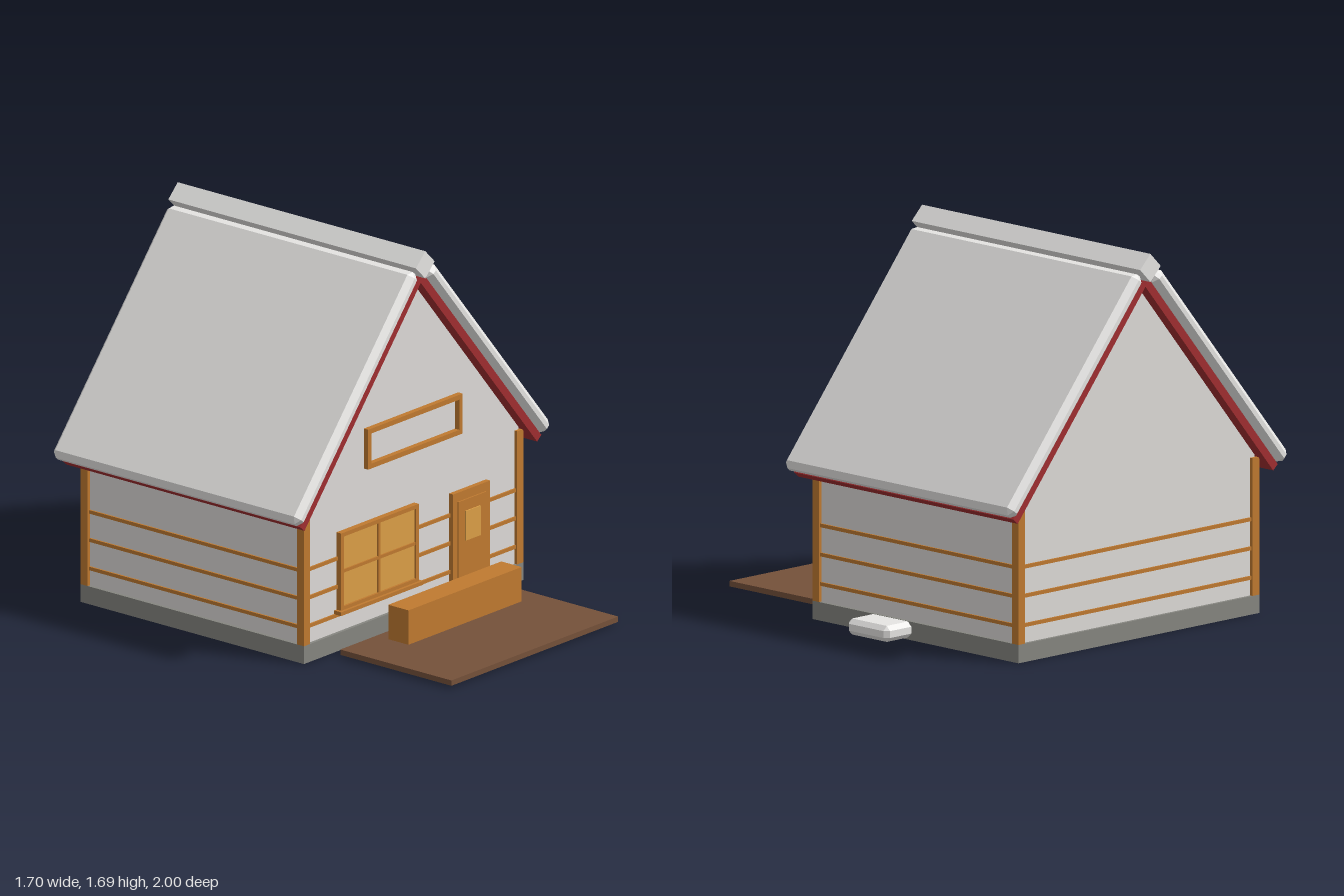
import * as THREE from 'three';
import { ConvexGeometry } from 'three/addons/geometries/ConvexGeometry.js';

const mat = (name, color) => {
  const m = new THREE.MeshStandardMaterial({ color });
  m.name = name;
  return m;
};

export function createModel() {
  const root = new THREE.Group();
  root.name = 'cottage';
  const white = mat('snowWhite', 0xe6e5e3);
  const plaster = mat('plaster', 0xdedbd8);
  const stone = mat('stone', 0x868680);
  const timber = mat('timber', 0xc07a30);
  const pane = mat('amberGlass', 0xdc9f46);
  const red = mat('redBoard', 0xa02e30);
  const brown = mat('darkPlank', 0x75513a);

  const add = (parent, name, geometry, material) => {
    const m = new THREE.Mesh(geometry, material);
    m.name = name;
    parent.add(m);
    return m;
  };
  // Box given by its limits on each axis
  const box = (parent, name, material, x0, x1, y0, y1, z0, z1) => {
    const m = add(parent, name, new THREE.BoxGeometry(x1 - x0, y1 - y0, z1 - z0), material);
    m.position.set((x0 + x1) / 2, (y0 + y1) / 2, (z0 + z1) / 2);
    return m;
  };
  // Box with every edge and corner cut by c
  const chamferBox = (w, h, d, c) => {
    const pts = [];
    for (const sx of [-1, 1]) for (const sy of [-1, 1]) for (const sz of [-1, 1]) {
      const [x, y, z] = [w / 2, h / 2, d / 2];
      pts.push(new THREE.Vector3(sx * x, sy * (y - c), sz * (z - c)));
      pts.push(new THREE.Vector3(sx * (x - c), sy * y, sz * (z - c)));
      pts.push(new THREE.Vector3(sx * (x - c), sy * (y - c), sz * z));
    }
    return new ConvexGeometry(pts);
  };
  // Rectangular frame with an opening
  const frame = (parent, name, x0, x1, y0, y1, t, z0, z1) => {
    const s = new THREE.Shape([[x0, y0], [x1, y0], [x1, y1], [x0, y1]].map(p => new THREE.Vector2(...p)));
    s.holes.push(new THREE.Path([[x0 + t, y0 + t], [x0 + t, y1 - t], [x1 - t, y1 - t], [x1 - t, y0 + t]]
      .map(p => new THREE.Vector2(...p))));
    add(parent, name, new THREE.ExtrudeGeometry(s, { depth: z1 - z0, bevelEnabled: false }), timber).position.z = z0;
  };

  // House body, centred on its own ridge line
  const house = new THREE.Group();
  house.name = 'house';
  house.position.x = -0.02;
  root.add(house);
  box(house, 'foundation', stone, -0.72, 0.72, 0, 0.08, -0.93, 0.32);
  const gable = new THREE.Shape([[-0.705, 0.08], [0.705, 0.08], [0.705, 0.692], [0, 1.54], [-0.705, 0.692]]
    .map(p => new THREE.Vector2(...p)));
  add(house, 'walls', new THREE.ExtrudeGeometry(gable, { depth: 1.22, bevelEnabled: false }), plaster).position.z = -0.915;

  // Corner posts and wall rails
  for (const s of [-1, 1]) {
    for (const z of [-0.93, 0.28])
      box(house, 'cornerPost', timber, s * 0.7 - 0.02, s * 0.7 + 0.02, 0.08, 0.68, z, z + 0.04);
    for (const y of [0.158, 0.286, 0.413])
      box(house, 'sideRail', timber, s * 0.705 - 0.008, s * 0.705 + 0.008, y - 0.008, y + 0.008, -0.9, 0.29);
  }
  for (const z of [-0.915, 0.305]) for (const y of [0.158, 0.286, 0.413])
    box(house, 'endRail', timber, -0.69, 0.69, y - 0.008, y + 0.008, z - 0.008, z + 0.008);

  // Roof slopes: t runs down the slope, n is the distance outward from the base point
  const angle = Math.atan(1.2), nx = Math.sin(angle), ny = Math.cos(angle);
  const slope = (name, geometry, material, s, t, n, z) => {
    const m = add(house, name, geometry, material);
    m.position.set(s * (nx * n + ny * t), ny * n - nx * t, z);
    m.rotation.z = -s * angle;
  };
  for (const s of [-1, 1]) {
    slope('roofBoard', new THREE.BoxGeometry(1.198, 0.036, 1.33), red, s, -0.587, 1.002, -0.305);
    slope('roofSlab', chamferBox(1.213, 0.07, 1.385, 0.025), white, s, -0.5885, 1.055, -0.3075);
  }
  const ridge = add(house, 'ridgeCap', new THREE.BoxGeometry(0.087, 0.087, 1.385), white);
  ridge.position.set(0, 1.624, -0.3075);
  ridge.rotation.z = Math.PI / 4;

  // Gable window frame
  frame(root, 'atticFrame', -0.33, 0.29, 0.77, 0.95, 0.022, 0.3, 0.33);

  // Front window
  const win = new THREE.Group();
  win.name = 'window';
  root.add(win);
  frame(win, 'windowFrame', -0.51, 0, 0.18, 0.53, 0.018, 0.3, 0.332);
  box(win, 'windowPane', pane, -0.495, -0.015, 0.195, 0.515, 0.314, 0.322);
  box(win, 'mullion', timber, -0.263, -0.249, 0.19, 0.515, 0.314, 0.329);
  box(win, 'crossbar', timber, -0.495, -0.015, 0.348, 0.362, 0.314, 0.329);
  box(win, 'windowSill', timber, -0.525, 0.015, 0.165, 0.182, 0.3, 0.345);

  // Front door in stacked layers
  const door = new THREE.Group();
  door.name = 'door';
  root.add(door);
  box(door, 'doorFrame', timber, 0.23, 0.472, 0.08, 0.51, 0.3, 0.328);
  box(door, 'doorLeaf', timber, 0.258, 0.442, 0.082, 0.47, 0.32, 0.335);
  box(door, 'doorPane', pane, 0.3, 0.396, 0.287, 0.42, 0.333, 0.341);

  // Deck, bench and side step
  box(root, 'deck', brown, -0.57, 0.525, 0.01, 0.034, 0.378, 1);
  box(root, 'bench', timber, -0.392, 0.35, 0.06, 0.215, 0.495, 0.608);
  add(root, 'sideStep', chamferBox(0.19, 0.07, 0.25, 0.02), white).position.set(0.752, 0.044, -0.155);

  return root;
}
